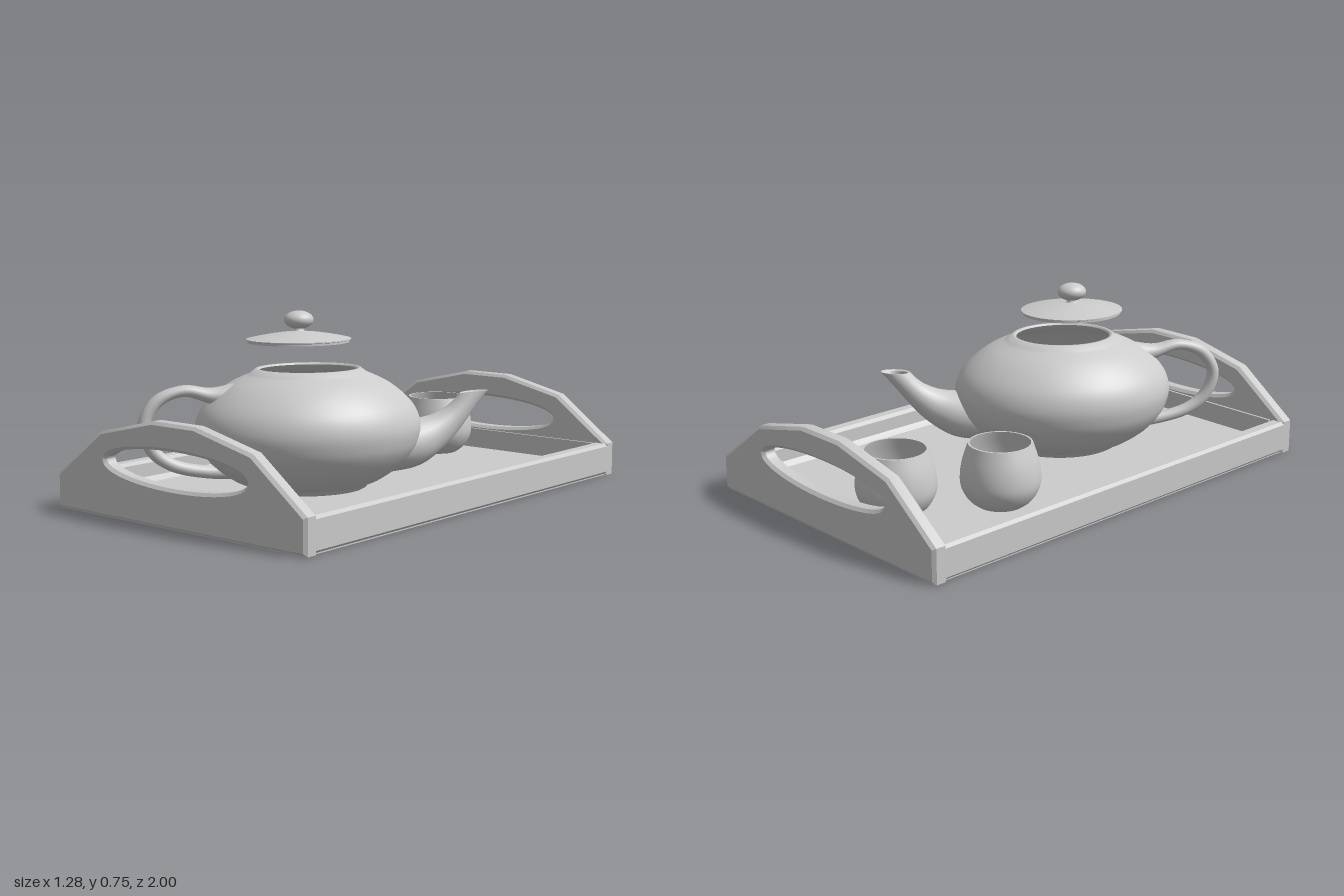
import * as THREE from 'three';
import { toCreasedNormals } from 'three/addons/utils/BufferGeometryUtils.js';

const material = new THREE.MeshStandardMaterial({ color: 0xcccccc, side: THREE.DoubleSide });
const FLOOR = 0.05;

function add(parent, name, geometry) {
  const mesh = new THREE.Mesh(geometry, material);
  mesh.name = name;
  parent.add(mesh);
  return mesh;
}

// Smooth run of profile points
function smooth(points, n) {
  return new THREE.SplineCurve(points.map(p => new THREE.Vector2(...p))).getPoints(n);
}

function lathe(points) {
  const pts = points.map(p => new THREE.Vector2(Math.max(p.x, 0), p.y));
  return toCreasedNormals(new THREE.LatheGeometry(pts, 64), 0.7);
}

// Lofted tube in the xy plane; each section is [outer x, outer y, inner x, inner y, half width]
function loft(sections, steps = 40, sides = 24) {
  const a = new THREE.CatmullRomCurve3(sections.map(s => new THREE.Vector3(s[0], s[1], s[4])));
  const b = new THREE.CatmullRomCurve3(sections.map(s => new THREE.Vector3(s[2], s[3], s[4])));
  const pos = [], index = [];
  for (let i = 0; i <= steps; i++) {
    const p = a.getPoint(i / steps), q = b.getPoint(i / steps);
    for (let j = 0; j < sides; j++) {
      const ang = (j / sides) * Math.PI * 2;
      const k = (1 + Math.cos(ang)) / 2;
      pos.push(q.x + (p.x - q.x) * k, q.y + (p.y - q.y) * k, p.z * Math.sin(ang));
      if (i < steps) {
        const c = i * sides + j, d = i * sides + (j + 1) % sides;
        index.push(c, c + sides, d, d, c + sides, d + sides);
      }
    }
  }
  const g = new THREE.BufferGeometry();
  g.setAttribute('position', new THREE.Float32BufferAttribute(pos, 3));
  g.setIndex(index);
  g.computeVertexNormals();
  return g;
}

function polygon(points) {
  return new THREE.Shape(points.map(p => new THREE.Vector2(...p)));
}

function createTray() {
  const tray = new THREE.Group();
  tray.name = 'tray';
  const floor = add(tray, 'trayFloor', new THREE.BoxGeometry(1.26, FLOOR, 1.98));
  floor.position.y = FLOOR / 2;

  // Chamfered long rails
  const railShape = polygon([[0.625, 0], [0.64, 0.015], [0.64, 0.125], [0.63, 0.137],
    [0.59, 0.137], [0.575, 0.125], [0.575, 0.07], [0.555, FLOOR], [0.555, 0]]);
  const railGeometry = new THREE.ExtrudeGeometry(railShape, { depth: 1.97, bevelEnabled: false });
  railGeometry.translate(0, 0, -0.985);

  // Arched end boards with an oval grip hole
  const endShape = polygon([[-0.64, 0], [0.64, 0], [0.64, 0.137], [0.39, 0.325], [0.11, 0.39],
    [-0.11, 0.39], [-0.39, 0.325], [-0.64, 0.137]]);
  const hole = new THREE.Path();
  hole.absellipse(0, 0.22, 0.365, 0.068, 0, Math.PI * 2, true);
  endShape.holes.push(hole);
  const b = 0.012;
  const endGeometry = toCreasedNormals(new THREE.ExtrudeGeometry(endShape, {
    depth: 0.065 - 2 * b, bevelThickness: b, bevelSize: b, bevelOffset: -b,
    bevelSegments: 1, curveSegments: 48,
  }), 0.5);
  endGeometry.translate(0, 0, 0.935 + b);

  for (const [side, turn] of [['left', 0], ['right', Math.PI]]) {
    add(tray, side + 'Rail', railGeometry).rotation.y = turn;
  }
  for (const [side, turn] of [['front', 0], ['back', Math.PI]]) {
    add(tray, side + 'EndBoard', endGeometry).rotation.y = turn;
    // Inner foot of the end board
    const skirt = add(tray, side + 'Skirt', new THREE.BoxGeometry(1.15, 0.09, 0.02));
    skirt.position.set(0, 0.09, turn ? -0.935 : 0.935);
  }
  return tray;
}

function createTeapot() {
  const teapot = new THREE.Group();
  teapot.name = 'teapot';
  teapot.position.set(0, 0, 0.26);
  teapot.rotation.y = 1.004;

  // Oval body, wider along the handle-to-spout axis
  const outer = smooth([[0.54, 0.068], [0.66, 0.09], [0.82, 0.14], [0.935, 0.2], [0.985, 0.25],
    [1, 0.305], [0.955, 0.365], [0.85, 0.42], [0.7, 0.47], [0.52, 0.508]], 40);
  const inner = smooth([[0.43, 0.52], [0.5, 0.498], [0.68, 0.455], [0.92, 0.36], [0.96, 0.3],
    [0.9, 0.2], [0.6, 0.1], [0, 0.08]], 24);
  const foot = [[0, FLOOR], [0.5, FLOOR], [0.52, 0.055]].map(p => new THREE.Vector2(...p));
  const rim = [new THREE.Vector2(0.465, 0.527), new THREE.Vector2(0.44, 0.527)];
  add(teapot, 'body', lathe([...foot, ...outer, ...rim, ...inner])).scale.set(0.45, 1, 0.378);

  // Spout with a level, open mouth
  add(teapot, 'spout', loft([
    [0.30, 0.32, 0.30, 0.09, 0.12], [0.43, 0.305, 0.46, 0.115, 0.10],
    [0.51, 0.315, 0.57, 0.185, 0.07], [0.575, 0.342, 0.64, 0.258, 0.052],
    [0.61, 0.368, 0.70, 0.335, 0.042], [0.64, 0.4, 0.76, 0.408, 0.035],
  ]));
  add(teapot, 'spoutLining', loft([
    [0.64, 0.4, 0.76, 0.408, 0.035], [0.65, 0.396, 0.745, 0.4, 0.029],
    [0.625, 0.365, 0.69, 0.335, 0.032], [0.59, 0.335, 0.62, 0.265, 0.035],
  ], 16));

  // Looped handle, flared where it meets the shoulder
  add(teapot, 'handle', loft([
    [0.29, 0.48, 0.30, 0.37, 0.055], [0.39, 0.463, 0.39, 0.398, 0.038],
    [0.50, 0.477, 0.50, 0.432, 0.028], [0.62, 0.435, 0.585, 0.40, 0.026],
    [0.68, 0.33, 0.63, 0.33, 0.026], [0.645, 0.215, 0.60, 0.24, 0.026],
    [0.56, 0.147, 0.535, 0.19, 0.026], [0.42, 0.11, 0.41, 0.16, 0.028],
    [0.30, 0.10, 0.30, 0.16, 0.03],
  ], 60)).rotation.y = Math.PI;
  return teapot;
}

// Raised lid with a round knob
function createLid() {
  const lid = new THREE.Group();
  lid.name = 'lid';
  lid.position.set(-0.042, 0, 0.268);
  lid.rotation.y = 1.004;
  const edge = [[0, 0.635], [0.42, 0.632], [0.425, 0.626], [0.45, 0.626], [0.45, 0.634], [0.465, 0.636]]
    .map(p => new THREE.Vector2(...p));
  const dome = smooth([[0.465, 0.64], [0.35, 0.651], [0.2, 0.662], [0.07, 0.669],
    [0.045, 0.674], [0.042, 0.69]], 24);
  add(lid, 'lidCover', lathe([...edge, ...dome])).scale.set(0.45, 1, 0.378);
  const knob = add(lid, 'lidKnob', new THREE.SphereGeometry(1, 32, 20));
  knob.scale.set(0.059, 0.036, 0.051);
  knob.position.y = 0.714;
  return lid;
}

function createModel() {
  const model = new THREE.Group();
  model.name = 'teaTraySet';
  model.add(createTray(), createTeapot(), createLid());

  // Two round cups with hollow insides
  const outside = smooth([[0.092, 0.053], [0.125, 0.08], [0.15, 0.125], [0.155, 0.17],
    [0.146, 0.23], [0.124, 0.3]], 24);
  const inside = smooth([[0.116, 0.3], [0.136, 0.23], [0.144, 0.17], [0.135, 0.12], [0.085, 0.075]], 20);
  const cupGeometry = lathe([new THREE.Vector2(0, FLOOR), new THREE.Vector2(0.085, FLOOR),
    ...outside, ...inside, new THREE.Vector2(0, 0.072)]);
  [[-0.115, -0.735], [-0.33, -0.4]].forEach(([x, z], i) => {
    add(model, 'cup' + (i + 1), cupGeometry).position.set(x, 0, z);
  });
  return model;
}

export { createModel };
